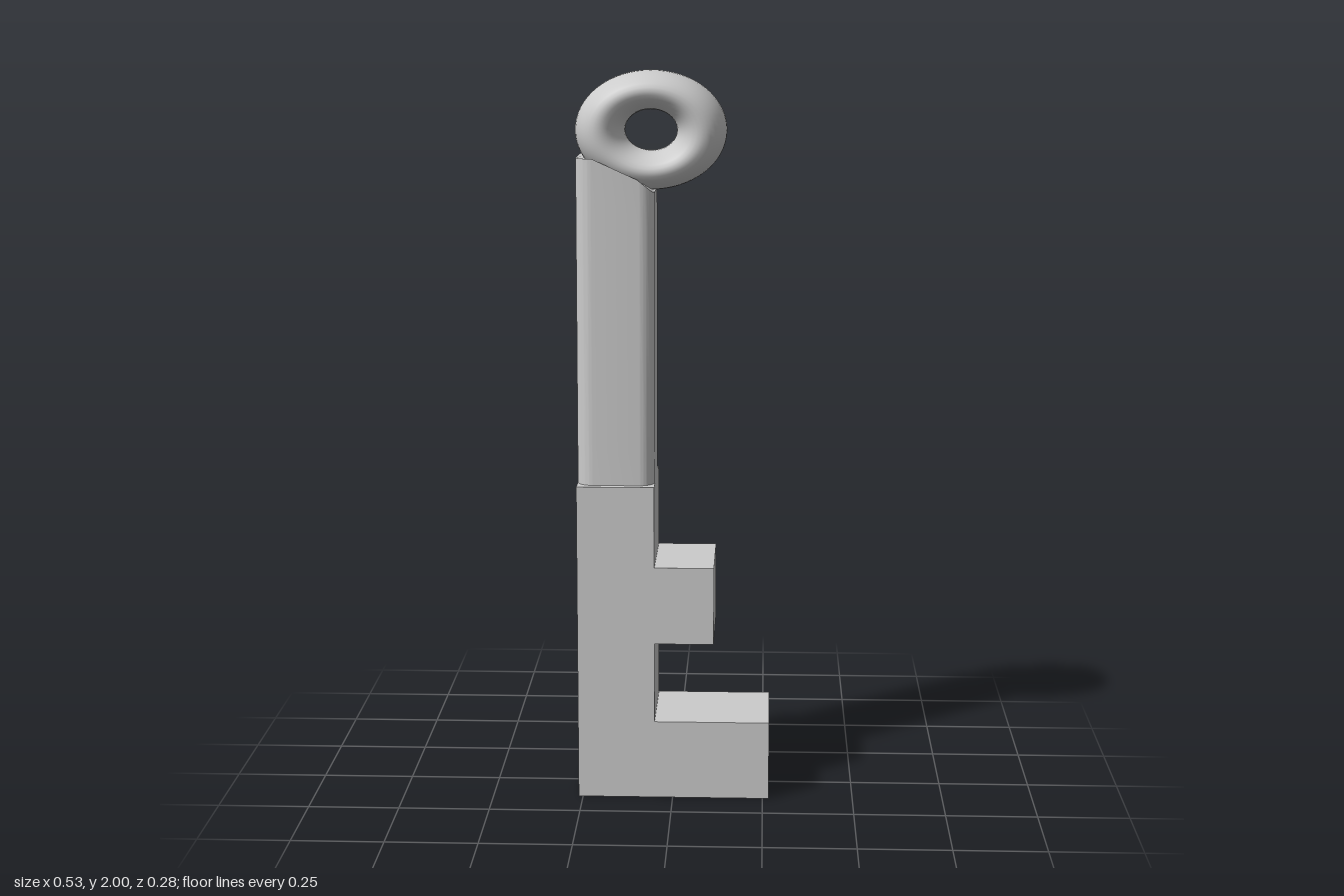
import * as THREE from 'three';
import { toCreasedNormals } from 'three/addons/utils/BufferGeometryUtils.js';

const material = new THREE.MeshStandardMaterial({ color: 0xcccccc });

function part(name, geometry) {
  const mesh = new THREE.Mesh(geometry, material);
  mesh.name = name;
  return mesh;
}

// Stem with two teeth, cut from one flat outline
function toothedBit() {
  const outline = [
    [-0.262, 0], [0.267, 0], [0.267, 0.22], [-0.05, 0.22], [-0.05, 0.444],
    [0.113, 0.444], [0.113, 0.66], [-0.05, 0.66], [-0.05, 0.885], [-0.262, 0.885],
  ].map(([x, y]) => new THREE.Vector2(x, y));
  const geometry = new THREE.ExtrudeGeometry(new THREE.Shape(outline), { depth: 0.275, bevelEnabled: false });
  return part('toothedBit', geometry.translate(0, 0, -0.1375));
}

// Rounded-square shaft, tapering front to back, its top sloped to meet the ring
function taperedShaft() {
  const w = 0.106, d = 0.119, r = 0.045;
  const section = new THREE.Shape();
  section.moveTo(w, -d + r);
  section.absarc(w - r, d - r, r, 0, Math.PI / 2);
  section.absarc(-w + r, d - r, r, Math.PI / 2, Math.PI);
  section.absarc(-w + r, -d + r, r, Math.PI, Math.PI * 1.5);
  section.absarc(w - r, -d + r, r, Math.PI * 1.5, Math.PI * 2);
  const geometry = new THREE.ExtrudeGeometry(section, { depth: 1, steps: 8, bevelEnabled: false, curveSegments: 8 });
  geometry.rotateX(-Math.PI / 2);
  const p = geometry.attributes.position;
  for (let i = 0; i < p.count; i++) {
    const t = p.getY(i);
    const x = p.getX(i) - 0.156;
    const top = THREE.MathUtils.clamp(1.77 - (x + 0.16) * 0.85, 1.68, 1.77);
    p.setXYZ(i, x, THREE.MathUtils.lerp(0.87, top, t), p.getZ(i) * (1 - 0.09 * t) - 0.002);
  }
  return part('shaft', toCreasedNormals(geometry, Math.PI / 5));
}

// Deep oval ring for the handle
function handleRing() {
  const ring = part('handleRing', new THREE.TorusGeometry(0.1375, 0.0675, 32, 64));
  ring.scale.set(1, 0.78, 1.63);
  ring.position.set(-0.063, 1.84, -0.005);
  return ring;
}

export function createModel() {
  const model = new THREE.Group();
  model.name = 'key';
  model.add(toothedBit(), taperedShaft(), handleRing());
  return model;
}
